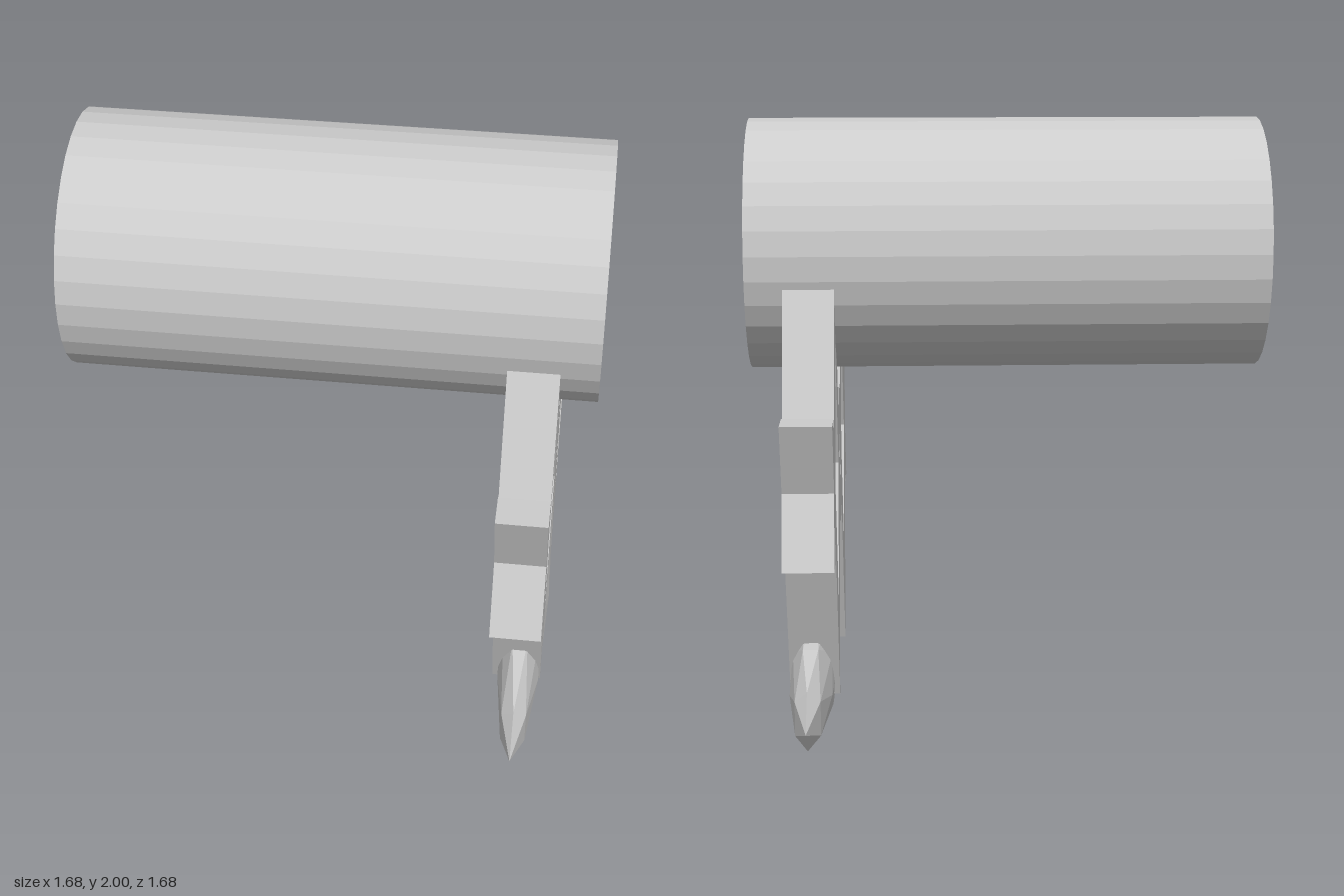
import * as THREE from 'three';

export function createModel() {
  const model = new THREE.Group();
  const material = new THREE.MeshStandardMaterial({ color: 0xcccccc, flatShading: true });
  const add = (name, geometry, parent = model) => {
    const mesh = new THREE.Mesh(geometry, material);
    mesh.name = name;
    parent.add(mesh);
    return mesh;
  };

  // Large drum lying along x
  const drum = add('drum', new THREE.CylinderGeometry(0.413, 0.413, 1.68, 32));
  drum.rotation.z = Math.PI / 2;
  drum.position.set(0, 1.588, 0.062);

  // Lattice of crossed struts: each pair is an upright and an inverted chevron
  const lattice = new THREE.Group();
  lattice.name = 'lattice';
  model.add(lattice);
  const chevron = (name, z, up) => {
    const y = (dy) => 0.876 + up * dy;
    const shape = new THREE.Shape([
      [0, 0.42], [0.26, -0.23], [0.39, -0.23],
      [0, 0.745], [-0.39, -0.23], [-0.26, -0.23],
    ].map(([dz, dy]) => new THREE.Vector2(z + dz, y(dy))));
    const geometry = new THREE.ExtrudeGeometry(shape, { depth: 0.163, bevelEnabled: false });
    geometry.rotateY(-Math.PI / 2).translate(0.719, 0, 0);
    add(name, geometry, lattice);
  };
  for (const [side, z] of [['front', 0.38], ['back', -0.28]]) {
    chevron(side + 'UpperStruts', z, 1);
    chevron(side + 'LowerStruts', z, -1);
  }

  // Faceted, pointed runner under the lattice
  const runner = add('runner', new THREE.IcosahedronGeometry(1, 1).scale(0.081, 0.179, 0.838));
  runner.position.set(0.645, 0.179, 0);

  return model;
}
